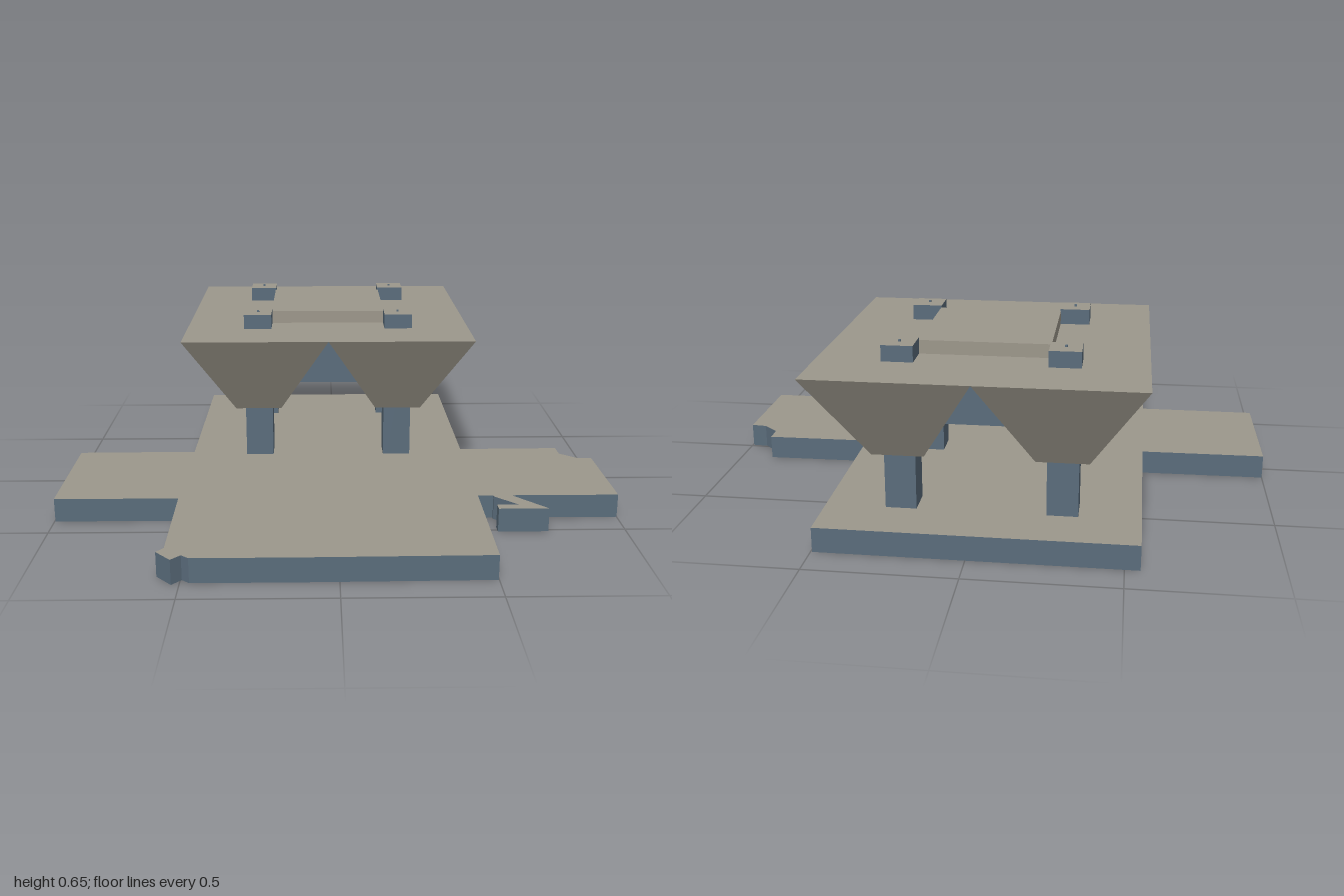
import * as THREE from 'three';

const stone = new THREE.MeshStandardMaterial({ color: 0x9c978b, flatShading: true, side: THREE.DoubleSide });
stone.name = 'warm grey stone';
const steel = new THREE.MeshStandardMaterial({ color: 0x5a6c7b, flatShading: true, side: THREE.DoubleSide });
steel.name = 'blue grey steel';

// steel sides with stone top and bottom
const capped = [steel, steel, stone, stone, steel, steel];

// plan of the base as [x, z]
const plan = [
  [-1, -0.085], [-0.555, -0.09], [-0.55, -0.88], [0.495, -0.88], [0.5, -0.105],
  // broken right corner
  [0.88, -0.11], [0.882, -0.045], [0.94, 0.005], [0.996, 0.01], [1, 0.39],
  // hooked spur
  [0.62, 0.39], [0.73, 0.513], [0.555, 0.513], [0.555, 0.475], [0.63, 0.475], [0.555, 0.4], [0.555, 0.39],
  [0.5, 0.39], [0.498, 0.885], [-0.13, 0.892], [-0.47, 0.892],
  // small corner tab
  [-0.495, 0.87], [-0.525, 0.903], [-0.578, 0.845], [-0.555, 0.815],
  [-0.56, 0.4], [-0.997, 0.4],
];
const deckY = 0.085;
const cx = -0.0265, cz = -0.377, offset = 0.267;

export function createModel() {
  const model = new THREE.Group();
  model.name = 'pavilion';

  const add = (name, geometry, material, x, y, z, parent = model) => {
    const mesh = new THREE.Mesh(geometry, material);
    mesh.name = name;
    mesh.position.set(x, y, z);
    parent.add(mesh);
    return mesh;
  };
  // box given by its bottom and top height
  const box = (name, w, y0, y1, material, x, z, parent) =>
    add(name, new THREE.BoxGeometry(w, y1 - y0, w), material, x, (y0 + y1) / 2, z, parent);

  // base deck, open underneath
  const shape = new THREE.Shape(plan.map(([x, z]) => new THREE.Vector2(x, -z)));
  add('baseDeck', new THREE.ShapeGeometry(shape).rotateX(-Math.PI / 2), stone, 0, deckY, 0);

  // base rim: one upright quad per plan edge
  const points = [];
  plan.forEach(([ax, az], i) => {
    const [bx, bz] = plan[(i + 1) % plan.length];
    points.push(ax, 0, az, ax, deckY, az, bx, deckY, bz);
    points.push(ax, 0, az, bx, deckY, bz, bx, 0, bz);
  });
  const rim = new THREE.BufferGeometry();
  rim.setAttribute('position', new THREE.Float32BufferAttribute(points, 3));
  rim.computeVertexNormals();
  add('baseRim', rim, steel, 0, 0, 0);

  // four inverted pyramids with their posts
  const topY = 0.59, footY = 0.285;
  const pyramid = new THREE.CylinderGeometry(offset * Math.SQRT2, 0.0865 * Math.SQRT2, topY - footY, 4)
    .rotateY(Math.PI / 4);
  for (const sx of [-1, 1]) {
    for (const sz of [-1, 1]) {
      const x = cx + sx * offset, z = cz + sz * offset;
      const column = new THREE.Group();
      column.name = 'column';
      model.add(column);
      add('canopyPyramid', pyramid, stone, x, (topY + footY) / 2, z, column);
      box('post', 0.104, 0, 0.644, capped, x, z, column);
      box('postPin', 0.008, 0.644, 0.65, steel, x, z, column);
    }
  }

  // central core below the roof and raised panel above it
  box('core', 0.434, 0.35, 0.588, capped, cx, cz);
  box('roofPanel', 0.434, 0.588, 0.636, stone, cx, cz);

  return model;
}
